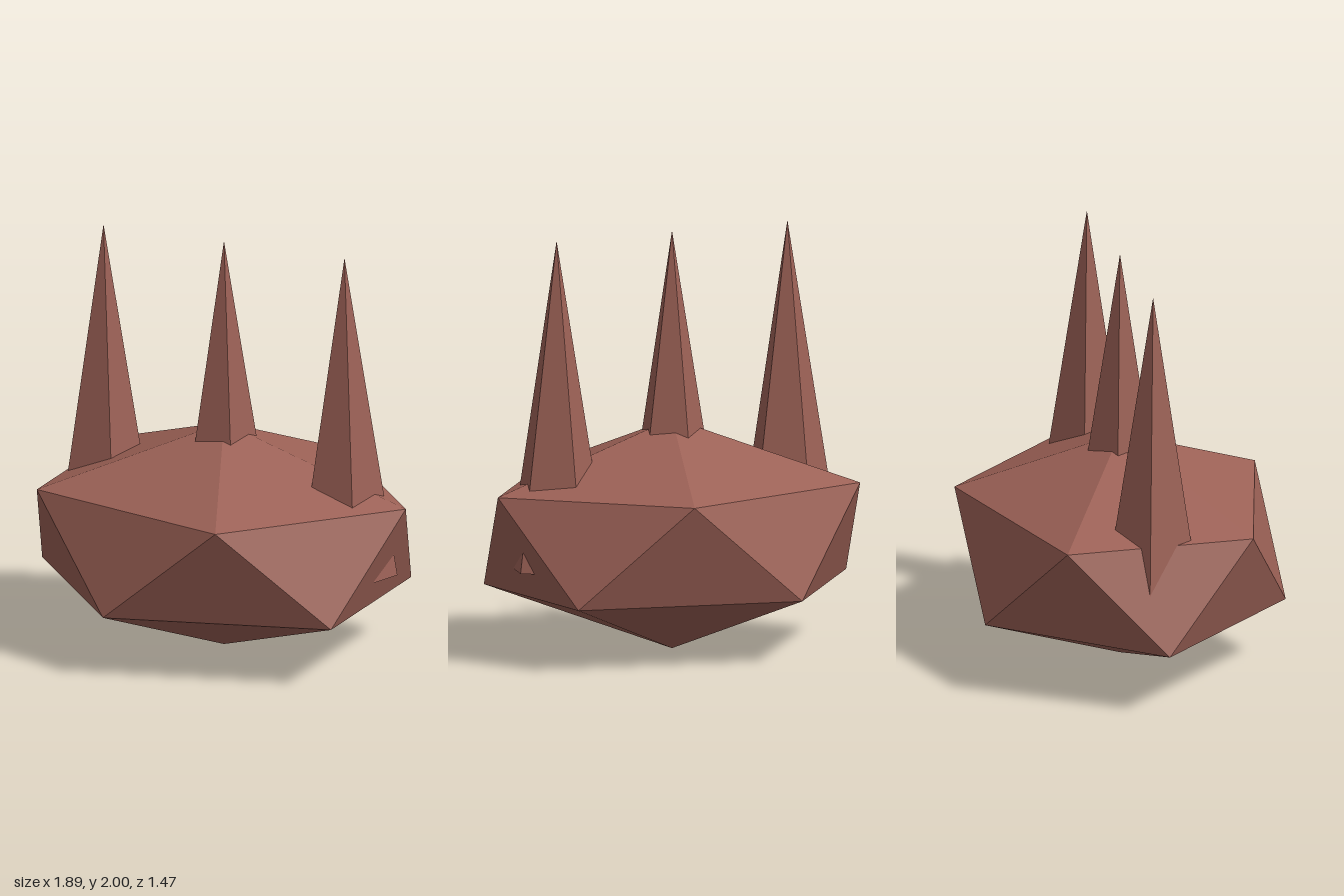
import * as THREE from 'three';

// Faceted twenty-sided body: two staggered five-point rings between two poles
function bodyGeometry(rx, rz, top, upperY, lowerY) {
  const ring = (y, offset) => Array.from({ length: 5 }, (_, i) => {
    const a = (i + offset) * Math.PI * 2 / 5;
    return [rx * Math.cos(a), y, rz * Math.sin(a)];
  });
  const upper = ring(upperY, 0), lower = ring(lowerY, 0.5);
  const apex = [0, top, 0], base = [0, 0, 0];
  const corners = [];
  for (let i = 0; i < 5; i++) {
    const j = (i + 1) % 5;
    corners.push(apex, upper[j], upper[i]);
    corners.push(upper[i], upper[j], lower[i]);
    corners.push(lower[i], upper[j], lower[j]);
    corners.push(base, lower[i], lower[j]);
  }
  const g = new THREE.BufferGeometry();
  g.setAttribute('position', new THREE.Float32BufferAttribute(corners.flat(), 3));
  g.computeVertexNormals();
  return g;
}

export function createModel() {
  const model = new THREE.Group();
  model.name = 'spikedRock';
  const clay = new THREE.MeshStandardMaterial({ color: 0x9c6156, flatShading: true });
  clay.name = 'reddish brown';

  // Squashed rock
  const body = new THREE.Mesh(bodyGeometry(0.946, 0.771, 1.1, 0.796, 0.304), clay);
  body.name = 'rockBody';
  model.add(body);

  // Row of five-sided spikes, sunk into the rock, one edge facing the back
  const bottom = 0.435, height = 2 - bottom;
  const spikeGeometry = new THREE.ConeGeometry(0.252, height, 5);
  spikeGeometry.rotateY(Math.PI);
  const spikes = { rightSpike: -0.627, middleSpike: 0, leftSpike: 0.627 };
  for (const [name, x] of Object.entries(spikes)) {
    const spike = new THREE.Mesh(spikeGeometry, clay);
    spike.name = name;
    spike.position.set(x, bottom + height / 2, 0);
    model.add(spike);
  }
  return model;
}
